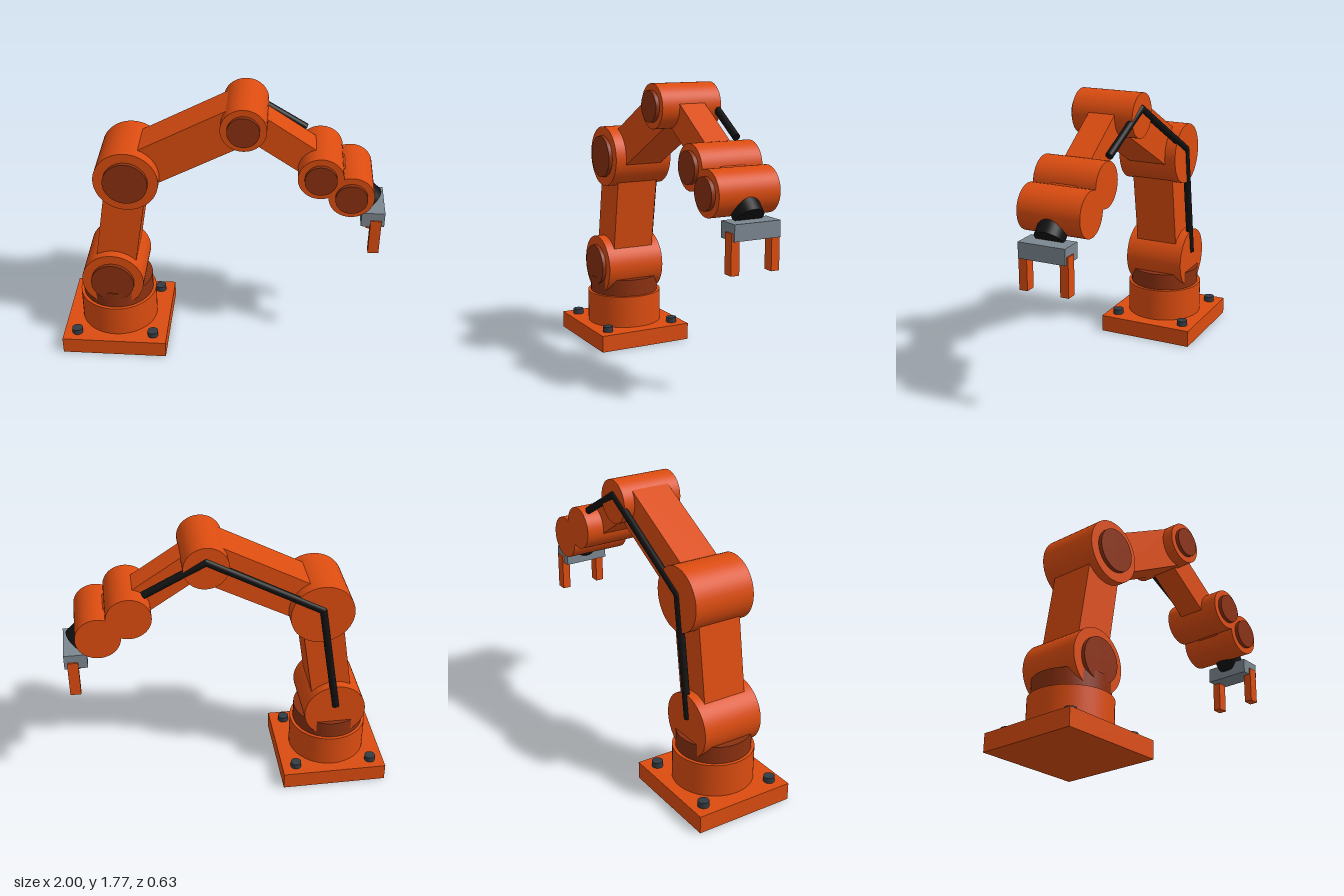
import * as THREE from 'three';

const paint = (name, color) => new THREE.MeshStandardMaterial({ name, color });

export function createModel() {
  const orange = paint('orange', 0xdb4c10);
  const rust = paint('dark orange', 0x8a3010);
  const steel = paint('steel grey', 0x7c8790);
  const iron = paint('dark grey', 0x343b42);
  const rubber = paint('black', 0x121212);

  const model = new THREE.Group();
  model.name = 'robotArm';

  const add = (name, geometry, material, x, y, z) => {
    const mesh = new THREE.Mesh(geometry, material);
    mesh.name = name;
    mesh.position.set(x, y, z);
    model.add(mesh);
    return mesh;
  };
  const box = (name, w, h, d, material, x, y, z) =>
    add(name, new THREE.BoxGeometry(w, h, d), material, x, y, z);
  const drum = (name, r, h, material, x, y, z) =>
    add(name, new THREE.CylinderGeometry(r, r, h, 48), material, x, y, z);

  // Cylinder running between two points
  const up = new THREE.Vector3(0, 1, 0);
  const rod = (name, a, b, r, material) => {
    const dir = b.clone().sub(a);
    const mid = a.clone().add(b).multiplyScalar(0.5);
    const mesh = drum(name, r, dir.length(), material, mid.x, mid.y, mid.z);
    mesh.quaternion.setFromUnitVectors(up, dir.normalize());
  };

  // Base plate with corner bolts, and the turning pedestal
  box('basePlate', 0.67, 0.11, 0.635, orange, -0.665, 0.055, 0);
  for (const x of [-0.913, -0.42])
    for (const z of [-0.238, 0.238]) drum('bolt', 0.034, 0.04, iron, x, 0.125, z);
  drum('pedestal', 0.246, 0.22, orange, -0.665, 0.21, 0);
  drum('turntable', 0.226, 0.12, rust, -0.665, 0.37, 0);

  // Joints: drums across z, each with a cap on the front
  const joints = [
    { name: 'shoulder', x: -0.665, y: 0.51, r: 0.195, cap: 0.135 },
    { name: 'elbow', x: -0.548, y: 1.26, r: 0.195, cap: 0.135 },
    { name: 'forearm', x: 0.146, y: 1.636, r: 0.135, cap: 0.095 },
    { name: 'wrist', x: 0.602, y: 1.33, r: 0.135, cap: 0.095 },
    { name: 'hand', x: 0.787, y: 1.21, r: 0.135, cap: 0.095 },
  ];
  for (const j of joints) {
    drum(j.name + 'Joint', j.r, 0.392, orange, j.x, j.y, 0).rotation.x = Math.PI / 2;
    drum(j.name + 'Cap', j.cap, 0.04, rust, j.x, j.y, 0.2).rotation.x = Math.PI / 2;
  }

  // Links between neighbouring joints: [name, thickness, depth]
  const links = [
    ['lowerArm', 0.25, 0.28],
    ['upperArm', 0.25, 0.25],
    ['foreArm', 0.18, 0.168],
    ['wristLink', 0.17, 0.158],
  ];
  links.forEach(([name, thick, depth], i) => {
    const a = joints[i], b = joints[i + 1];
    const dx = b.x - a.x, dy = b.y - a.y;
    const link = box(name, Math.hypot(dx, dy), thick, depth, orange, (a.x + b.x) / 2, (a.y + b.y) / 2, 0);
    link.rotation.z = Math.atan2(dy, dx);
  });

  // Tool mount and gripper
  rod('toolMount', new THREE.Vector3(0.787, 1.21, 0), new THREE.Vector3(0.915, 1.078, 0), 0.087, rubber);
  box('gripperPalm', 0.14, 0.095, 0.292, steel, 0.93, 1.023, 0);
  for (const side of [-1, 1])
    box('gripperFinger', 0.066, 0.235, 0.052, orange, 0.949, 0.902, side * 0.129);

  // Cable along the back, with round bends
  const cable = [
    [-0.668, 0.55, -0.188],
    [-0.548, 1.29, -0.188],
    [0.146, 1.678, -0.188],
    [0.51, 1.47, -0.163],
  ].map((p) => new THREE.Vector3(...p));
  cable.forEach((p, i) => {
    if (i < 3) rod('cable', p, cable[i + 1], 0.023, rubber);
    if (i === 1 || i === 2) add('cableBend', new THREE.SphereGeometry(0.023, 20, 14), rubber, p.x, p.y, p.z);
  });

  return model;
}
